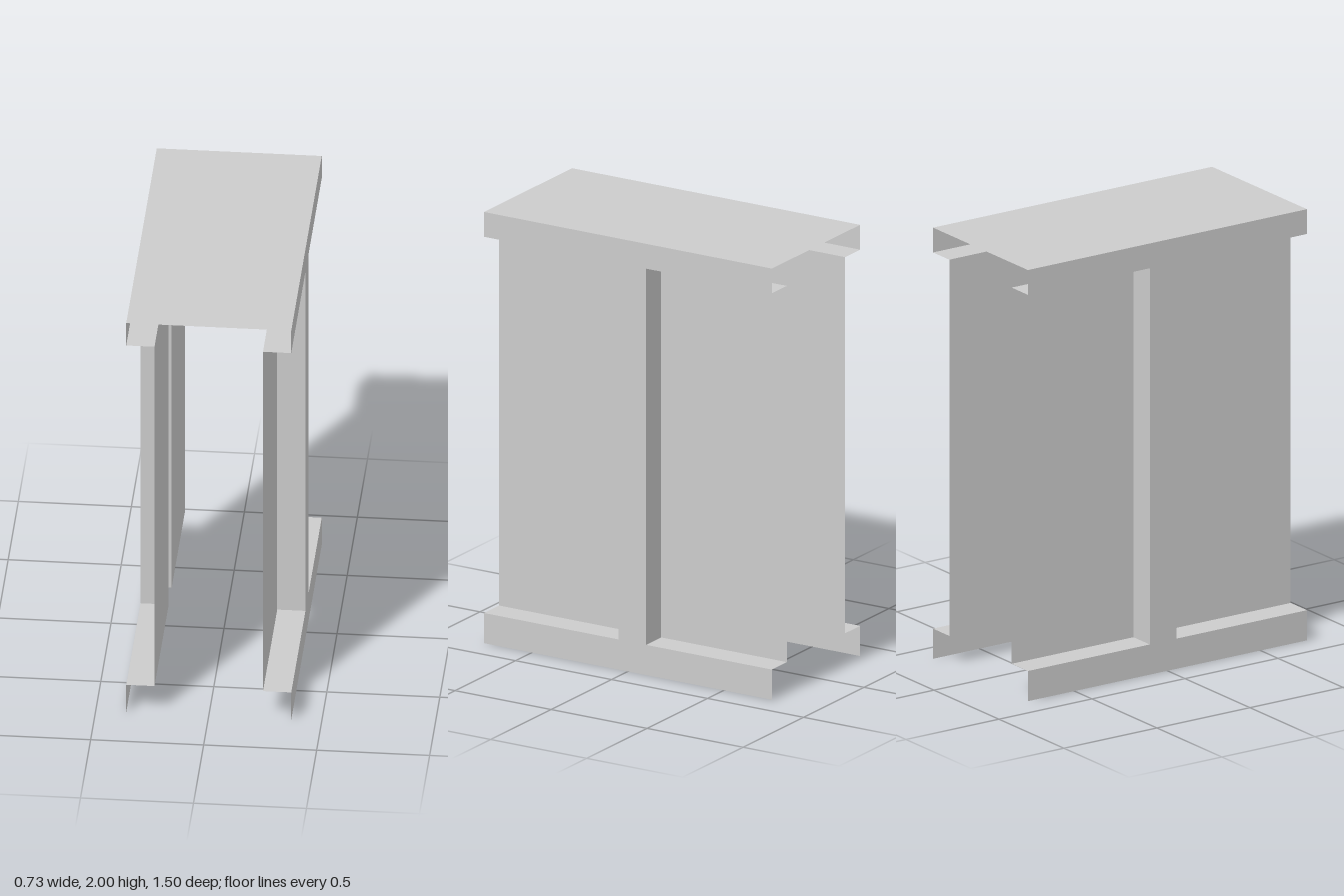
import * as THREE from 'three';

const X_OUT = 0.365, X_IN = 0.24;      // outer skin and recessed panels
const Z_END = 0.75, POST_F = 0.05, POST_B = -0.095;
const Y_LOW = 0.14, Y_HIGH = 1.885, Y_TOP = 2;

export function createModel() {
  const group = new THREE.Group();
  const material = new THREE.MeshStandardMaterial({
    color: 0xcccccc, side: THREE.DoubleSide, flatShading: true,
  });

  // Thin sheet placed by its centre and rotation
  function sheet(parent, name, w, h, pos, rx = 0, ry = 0) {
    const mesh = new THREE.Mesh(new THREE.PlaneGeometry(w, h), material);
    mesh.name = name;
    mesh.position.set(...pos);
    mesh.rotation.set(rx, ry, 0);
    parent.add(mesh);
  }

  // Top plate
  sheet(group, 'topPlate', 2 * X_OUT, 2 * Z_END, [0, Y_TOP, 0], -Math.PI / 2);

  const depth = X_OUT - X_IN, xMid = (X_OUT + X_IN) / 2;
  const height = Y_HIGH - Y_LOW, yMid = (Y_HIGH + Y_LOW) / 2;

  for (const s of [1, -1]) {
    const wall = new THREE.Group();
    wall.name = s > 0 ? 'leftWall' : 'rightWall';
    group.add(wall);

    // Outer skin: top rail, centre post and bottom rail in one sheet
    const outline = [
      [-Z_END, 0], [Z_END, 0], [Z_END, Y_LOW], [POST_F, Y_LOW],
      [POST_F, Y_HIGH], [Z_END, Y_HIGH], [Z_END, Y_TOP], [-Z_END, Y_TOP],
      [-Z_END, Y_HIGH], [POST_B, Y_HIGH], [POST_B, Y_LOW], [-Z_END, Y_LOW],
    ].map(([z, y]) => new THREE.Vector2(-s * z, y));
    const skin = new THREE.Mesh(new THREE.ShapeGeometry(new THREE.Shape(outline)), material);
    skin.name = 'outerFrame';
    skin.rotation.y = s * Math.PI / 2;
    skin.position.x = s * X_OUT;
    wall.add(skin);

    // Recessed bay in front of and behind the post
    for (const [bay, z0, z1] of [['front', POST_F, Z_END], ['back', -Z_END, POST_B]]) {
      const len = z1 - z0, zMid = (z0 + z1) / 2;
      const isFront = bay === 'front';
      sheet(wall, bay + 'Panel', len, height, [s * X_IN, yMid, zMid], 0, s * Math.PI / 2);
      sheet(wall, bay + 'LowerLedge', depth, len, [s * xMid, Y_LOW, zMid], -Math.PI / 2);
      sheet(wall, bay + 'UpperSoffit', depth, len, [s * xMid, Y_HIGH, zMid], Math.PI / 2);
      sheet(wall, bay + 'PostSide', depth, height,
        [s * xMid, yMid, isFront ? z0 : z1], 0, isFront ? 0 : Math.PI);
    }
  }
  return group;
}
